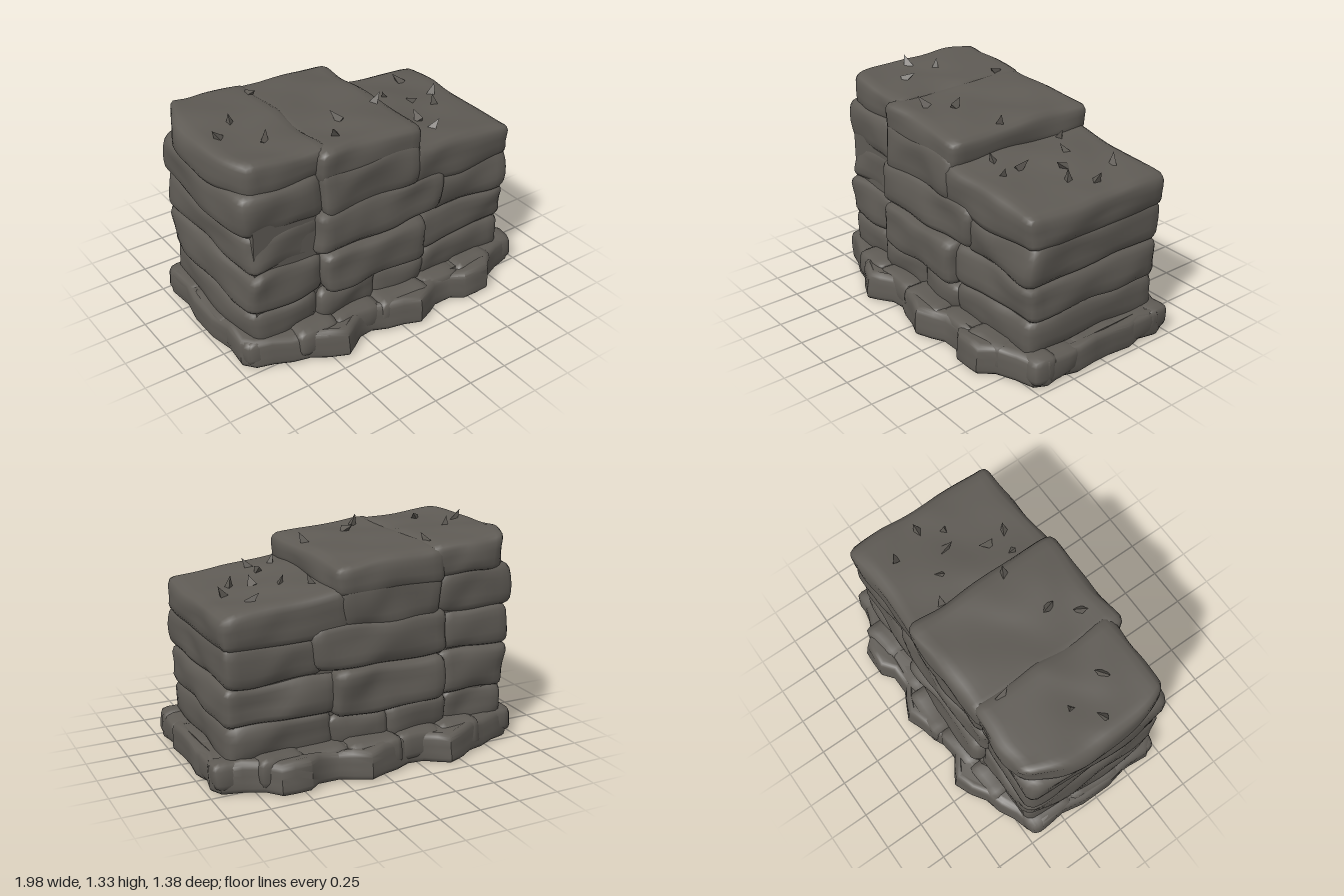
import * as THREE from 'three';
import { mergeVertices, toCreasedNormals } from 'three/addons/utils/BufferGeometryUtils.js';

const stoneMat = new THREE.MeshStandardMaterial({ color: 0x5f5b55 });
stoneMat.name = 'dark stone';

// Smooth lumpy noise, roughly -1..1
const lump = (x, y, z) =>
  0.5 * Math.sin(7 * x + 3 * y + 2 * Math.sin(5 * z + 4 * y)) +
  0.3 * Math.sin(13 * y - 9 * z + 1.5 * Math.sin(11 * x)) +
  0.2 * Math.sin(19 * z + 15 * x - 8 * y);

function smooth(geo, crease) {
  geo.deleteAttribute('normal');
  geo.deleteAttribute('uv');
  const merged = mergeVertices(geo, 1e-4);
  merged.computeVertexNormals();
  return crease ? toCreasedNormals(merged, crease) : merged;
}

// Worn block between two corners: rounded edges, lumpy faces, sloping top
function stone(name, [x0, x1], [y0, y1], [z0, z1], { round = 0.06, bump = 0.018, slope = 0, taper = 0 } = {}) {
  const size = [x1 - x0, y1 - y0, z1 - z0];
  const mid = [(x0 + x1) / 2, (y0 + y1) / 2, (z0 + z1) / 2];
  const segs = size.map((s) => Math.max(4, Math.round(s / 0.045)));
  const geo = new THREE.BoxGeometry(...size, ...segs);
  const pos = geo.attributes.position;
  const p = new THREE.Vector3(), q = new THREE.Vector3();
  const inner = new THREE.Vector3(...size.map((s) => s / 2 - round));
  const outer = inner.clone().negate();
  for (let i = 0; i < pos.count; i++) {
    p.fromBufferAttribute(pos, i);
    q.copy(p).clamp(outer, inner);
    p.sub(q).setLength(round).add(q);
    const high = p.y / size[1] + 0.5;
    const [x, y, z] = [p.x + mid[0], p.y + mid[1], p.z + mid[2]];
    const end = Math.max(0, -x - 0.4) / 0.58;
    pos.setXYZ(i,
      x + bump * lump(y * 1.3, z, x) + taper * end * Math.pow(Math.abs(z) / 0.5, 2),
      y + slope * p.x * high + bump * 0.8 * lump(z, x, y),
      z + bump * 1.2 * lump(x, y * 1.4, z));
  }
  const mesh = new THREE.Mesh(smooth(geo), stoneMat);
  mesh.name = name;
  return mesh;
}

// Broad foot with an irregular outline, mirrored front to back
function makePlinth() {
  const half = [[0.97, 0.06], [0.985, 0.2], [0.955, 0.3], [0.98, 0.42], [0.94, 0.5], [0.82, 0.53], [0.71, 0.58],
    [0.64, 0.66], [0.56, 0.665], [0.46, 0.665], [0.39, 0.61], [0.27, 0.61], [0.2, 0.65], [0.1, 0.695], [0.0, 0.655],
    [-0.1, 0.63], [-0.19, 0.59], [-0.28, 0.6], [-0.35, 0.65], [-0.42, 0.69], [-0.53, 0.645], [-0.62, 0.585],
    [-0.72, 0.56], [-0.82, 0.51], [-0.92, 0.48], [-0.975, 0.41], [-0.96, 0.25], [-0.99, 0.1]];
  const back = half.map(([x, z]) => [x, -z]).reverse();
  const shape = new THREE.Shape([...half, ...back].map(([x, z]) => new THREE.Vector2(x, z)));
  const geo = new THREE.ExtrudeGeometry(shape, {
    depth: 0.11, steps: 3, bevelSize: 0.035, bevelOffset: -0.035, bevelThickness: 0.035, bevelSegments: 3,
  });
  geo.rotateX(-Math.PI / 2).translate(0, 0.035, 0);
  const pos = geo.attributes.position;
  for (let i = 0; i < pos.count; i++) {
    const x = pos.getX(i), y = pos.getY(i), z = pos.getZ(i);
    const n = lump(x * 1.6, y * 2, z * 1.6), h = y / 0.18;
    pos.setXYZ(i, x * (1 + 0.01 * n * h), Math.max(0, y + 0.018 * n * h), z * (1 - 0.03 * h + 0.01 * n));
  }
  const mesh = new THREE.Mesh(smooth(geo, 0.75), stoneMat);
  mesh.name = 'plinth';
  return mesh;
}

export function createModel() {
  const model = new THREE.Group();
  model.name = 'ruinedStoneWall';
  model.add(makePlinth());

  // Solid filling behind the joints
  const core = new THREE.Mesh(new THREE.BoxGeometry(1.72, 0.88, 0.88), stoneMat);
  core.name = 'core';
  core.position.set(-0.02, 0.54, 0);
  model.add(core);

  // Small stones forming the ledge of the plinth
  const cuts = [-0.95, -0.68, -0.42, -0.12, 0.2, 0.46, 0.72, 0.97];
  for (let i = 0; i < cuts.length - 1; i++) {
    for (const side of [-1, 1]) {
      const reach = [0.48, 0.58, 0.59, 0.62, 0.58, 0.59, 0.5][i];
      const z = side > 0 ? [0.34, reach] : [-reach, -0.34];
      model.add(stone('ledgeStone', [cuts[i] - 0.01, cuts[i + 1] + 0.01], [0.03, 0.19 + 0.012 * (i % 2)], z,
        { round: 0.04, bump: 0.012 }));
    }
  }
  for (const z of [[-0.47, -0.16], [-0.18, 0.2], [0.18, 0.47]]) {
    model.add(stone('ledgeStone', [0.7, 0.975], [0.02, 0.18], z, { round: 0.04, bump: 0.012 }));
    model.add(stone('ledgeStone', [-0.97, -0.7], [0.02, 0.19], z, { round: 0.04, bump: 0.012 }));
  }

  // Courses of through-stones: [left, right, bottom, top, back, front]
  const courses = [
    [[-0.93, -0.48, 0.14, 0.37, -0.47, 0.46], [-0.5, -0.08, 0.14, 0.36, -0.5, 0.5],
      [-0.11, 0.27, 0.14, 0.35, -0.49, 0.49], [0.23, 0.88, 0.14, 0.38, -0.47, 0.48]],
    [[-0.94, -0.43, 0.35, 0.62, -0.49, 0.47], [-0.46, 0.25, 0.34, 0.62, -0.54, 0.54],
      [0.2, 0.9, 0.36, 0.6, -0.48, 0.48]],
    [[-0.94, -0.46, 0.61, 0.86, -0.48, 0.45], [-0.5, 0.38, 0.61, 0.88, -0.51, 0.51],
      [0.3, 0.895, 0.58, 0.84, -0.48, 0.48]],
    [[-0.96, -0.42, 0.84, 1.11, -0.48, 0.45], [-0.45, 0.22, 0.83, 1.13, -0.5, 0.5]],
  ];
  courses.forEach((course, row) => {
    for (const [x0, x1, y0, y1, z0, z1] of course) {
      model.add(stone('courseStone' + (row + 1), [x0, x1], [y0, y1], [z0, z1], { taper: 0.03 }));
    }
  });

  // Low step on one side, tall cap on the other
  model.add(stone('lowTop', [0.14, 0.9], [0.8, 1.045], [-0.49, 0.49], { slope: -0.12, bump: 0.014, round: 0.05 }));
  model.add(stone('capStone', [-0.98, -0.36], [1.07, 1.275], [-0.5, 0.43], { slope: -0.05, taper: 0.12 }));
  model.add(stone('capStone', [-0.46, 0.23], [1.03, 1.235], [-0.51, 0.49], { slope: -0.06, bump: 0.014 }));

  // Sharp chips lying on the two tops
  const chips = [[-0.85, 0.05], [-0.7, -0.07], [-0.63, 0.18], [-0.42, -0.31], [-0.28, 0.33], [-0.16, 0.17],
    [0.17, 0.11], [0.28, -0.25], [0.3, 0.27], [0.42, -0.15], [0.43, 0.16], [0.45, 0.31], [0.55, -0.02],
    [0.65, -0.32], [0.66, 0.03], [0.76, -0.1]];
  chips.forEach(([x, z], i) => {
    const geo = new THREE.ConeGeometry(0.035, 0.09, 3).toNonIndexed();
    geo.computeVertexNormals();
    const chip = new THREE.Mesh(geo, stoneMat);
    const top = x < 0.24 ? 1.225 - 0.055 * x : 1.095 - 0.11 * x;
    chip.name = 'chip';
    chip.position.set(x, top + 0.025, z);
    chip.rotation.set(0.6 * Math.sin(i * 2.3), i * 1.7, 0.6 * Math.cos(i * 3.1));
    model.add(chip);
  });
  return model;
}
